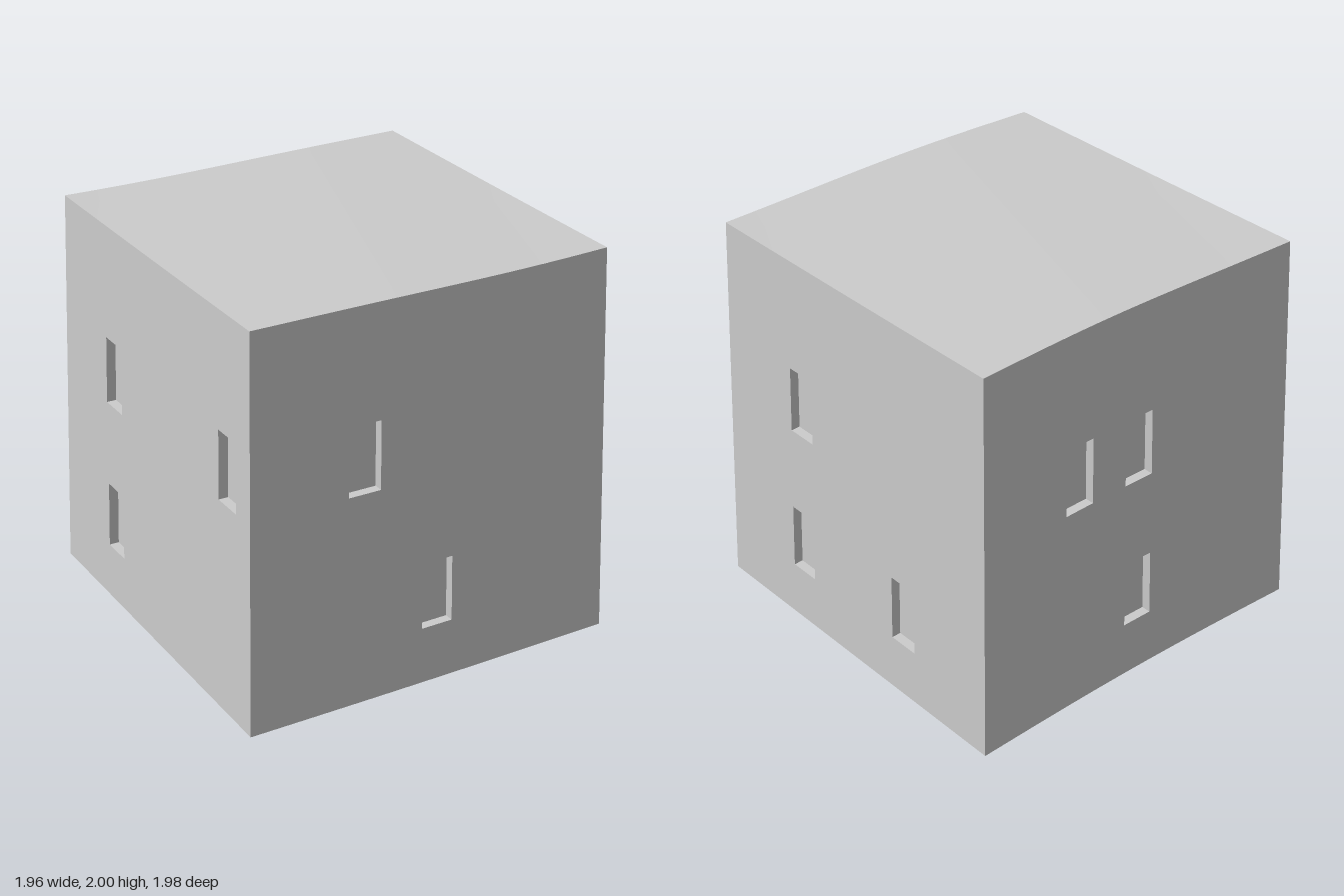
import * as THREE from 'three';
import { toCreasedNormals } from 'three/addons/utils/BufferGeometryUtils.js';

const WINDOW_W = 0.165, WINDOW_H = 0.345, DEPTH = 0.05, HEIGHT = 2;

// Half width of the tapering block at height y
const half = (y) => 0.98 - 0.05 * y / HEIGHT;

// Maps the square block (x, z in -1..1) to the tapered, slightly uneven one
function warp(x, y, z) {
  const h = half(y), t = y / HEIGHT;
  const bow = 0.022 * Math.cos(x * Math.PI / 2) - 0.008;
  const sag = 0.008 * t * (Math.cos(x * 3 + z) - 1) * 0.5;
  const lift = 0.012 * (1 - t) ** 4 * Math.cos(x * Math.PI / 2) * Math.max(0, z) ** 4;
  return [x * h + 0.005 * t, y + sag + lift, z * h + bow];
}

// Each wall: turn about y, and window centres as [distance along wall, height]
const WALLS = [
  { name: 'front', turn: 0, windows: [[-0.375, 1.26], [0.01, 0.47]] },
  { name: 'left', turn: 1, windows: [[-0.375, 1.25], [-0.39, 0.46], [0.38, 0.46]] },
  { name: 'back', turn: 2, windows: [[-0.37, 1.25], [0, 1.25], [0, 0.46]] },
  { name: 'right', turn: 3, windows: [[-0.41, 1.25], [-0.41, 0.46], [0.74, 1.25]] },
];

// Sorted grid lines: an even spread plus the window edges
function gridLines(from, to, count, extra) {
  const lines = [...extra];
  for (let i = 0; i <= count; i++) {
    const v = from + (to - from) * i / count;
    if (i === 0 || i === count || extra.every((e) => Math.abs(e - v) > 0.03)) lines.push(v);
  }
  return [...new Set(lines.map((v) => +v.toFixed(4)))].sort((a, b) => a - b);
}

// Collects counter-clockwise quads as a mesh
function quadMesh(name, quads, material) {
  const positions = quads.flatMap(([a, b, c, d]) => [a, b, c, a, c, d].flat());
  const geometry = new THREE.BufferGeometry();
  geometry.setAttribute('position', new THREE.Float32BufferAttribute(positions, 3));
  const mesh = new THREE.Mesh(toCreasedNormals(geometry, 0.6), material);
  mesh.name = name;
  return mesh;
}

function buildWall({ name, turn, windows }, material) {
  const cos = Math.round(Math.cos(turn * Math.PI / 2));
  const sin = Math.round(Math.sin(turn * Math.PI / 2));
  const point = (u, y, depth = 0) => {
    const d = 1 - depth;
    return warp(u * cos + d * sin, y, -u * sin + d * cos);
  };
  const openings = windows.map(([u, y]) => {
    const s = half(y);
    return [(u - WINDOW_W / 2) / s, (u + WINDOW_W / 2) / s, y - WINDOW_H / 2, y + WINDOW_H / 2];
  });
  const us = gridLines(-1, 1, 16, openings.flatMap((o) => [o[0], o[1]]));
  const ys = gridLines(0, HEIGHT, 16, openings.flatMap((o) => [o[2], o[3]]));
  const isOpen = (i, j) => {
    const u = (us[i] + us[i + 1]) / 2, y = (ys[j] + ys[j + 1]) / 2;
    return openings.some((o) => u > o[0] && u < o[1] && y > o[2] && y < o[3]);
  };

  const surface = [], recess = [];
  // Side of a recess, running from the wall surface to the pane
  const reveal = (u1, y1, u2, y2) => recess.push(
    [point(u1, y1), point(u2, y2), point(u2, y2, DEPTH), point(u1, y1, DEPTH)]);

  for (let i = 0; i < us.length - 1; i++) {
    for (let j = 0; j < ys.length - 1; j++) {
      const [u0, u1, y0, y1] = [us[i], us[i + 1], ys[j], ys[j + 1]];
      const cell = (d) => [point(u0, y0, d), point(u1, y0, d), point(u1, y1, d), point(u0, y1, d)];
      if (!isOpen(i, j)) {
        surface.push(cell(0));
        continue;
      }
      recess.push(cell(DEPTH));
      if (!isOpen(i, j - 1)) reveal(u0, y0, u1, y0);
      if (!isOpen(i + 1, j)) reveal(u1, y0, u1, y1);
      if (!isOpen(i, j + 1)) reveal(u1, y1, u0, y1);
      if (!isOpen(i - 1, j)) reveal(u0, y1, u0, y0);
    }
  }
  const wall = new THREE.Group();
  wall.name = `${name}Wall`;
  wall.add(quadMesh(`${name}WallSurface`, surface, material));
  wall.add(quadMesh(`${name}WindowRecesses`, recess, material));
  return wall;
}

// Roof or underside
function buildCap(name, y, facing, material) {
  const lines = gridLines(-1, 1, 16, []);
  const quads = [];
  for (let i = 0; i < 16; i++) {
    for (let j = 0; j < 16; j++) {
      const [x0, x1, z0, z1] = [lines[i], lines[i + 1], lines[j], lines[j + 1]];
      const quad = [warp(x0, y, z1), warp(x1, y, z1), warp(x1, y, z0), warp(x0, y, z0)];
      quads.push(facing > 0 ? quad : quad.reverse());
    }
  }
  return quadMesh(name, quads, material);
}

export function createModel() {
  const material = new THREE.MeshStandardMaterial({ color: 0xcccccc });
  const model = new THREE.Group();
  model.name = 'houseBlock';
  for (const wall of WALLS) model.add(buildWall(wall, material));
  model.add(buildCap('roof', HEIGHT, 1, material));
  model.add(buildCap('underside', 0, -1, material));
  return model;
}
